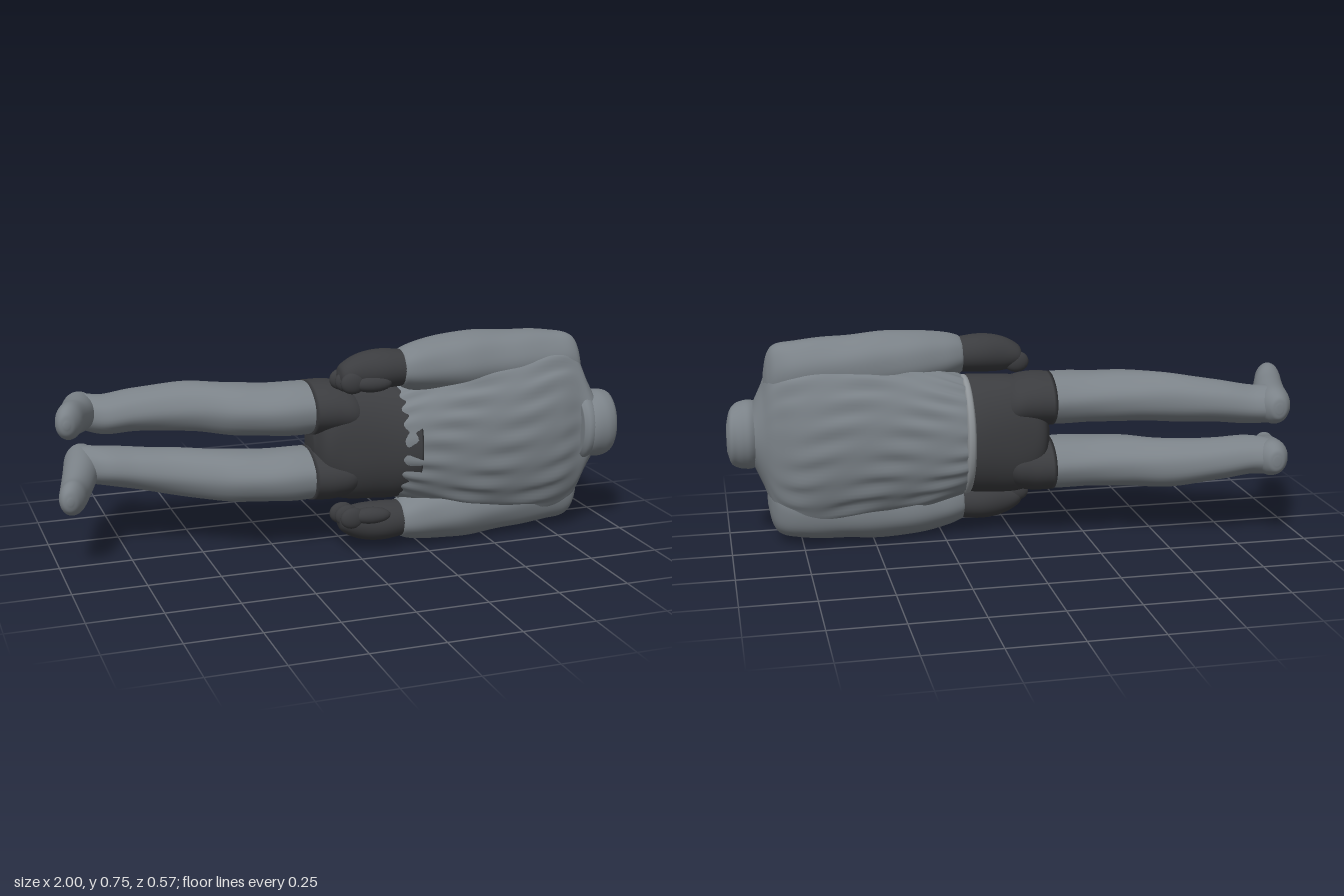
import * as THREE from 'three';

const GREY = 0x7b8288, DARK = 0x3b3c3f, TRIM = 0x8f9498;
const MID = 0.3725; // height of the body's long axis

// Smooth skin over sections [t, a, b, ra, rb, exponent], t rising along axis x or z
function loft(name, color, secs, { axis = 'x', rows = 40, cols = 40, bump = null } = {}) {
  const centre = new THREE.CatmullRomCurve3(
    secs.map(s => new THREE.Vector3(s[0], s[1], s[2])), false, 'catmullrom', 0.5);
  const size = new THREE.CatmullRomCurve3(
    secs.map(s => new THREE.Vector3(s[3], s[4], s[5] ?? 2)), false, 'catmullrom', 0.5);
  const pos = [], idx = [];
  const put = (t, a, b) => axis === 'x' ? pos.push(t, a, b) : pos.push(a, b, t);
  for (let i = 0; i <= rows; i++) {
    const c = centre.getPoint(i / rows), r = size.getPoint(i / rows);
    for (let j = 0; j < cols; j++) {
      const th = j / cols * Math.PI * 2, k = 2 / r.z;
      const ca = Math.cos(th), sa = Math.sin(th);
      const m = bump ? 1 + bump(c.x, th) : 1;
      put(c.x, c.y + r.x * m * Math.sign(ca) * Math.abs(ca) ** k,
        c.z + r.y * m * Math.sign(sa) * Math.abs(sa) ** k);
      const n = (j + 1) % cols, p = i * cols;
      if (i < rows) idx.push(p + j, p + n, p + cols + n, p + j, p + cols + n, p + cols + j);
    }
  }
  // end caps
  const first = secs[0], last = secs[secs.length - 1], base = (rows + 1) * cols;
  put(first[0], first[1], first[2]);
  put(last[0], last[1], last[2]);
  for (let j = 0; j < cols; j++) {
    const n = (j + 1) % cols;
    idx.push(base, n, j, base + 1, rows * cols + j, rows * cols + n);
  }
  const geo = new THREE.BufferGeometry();
  geo.setAttribute('position', new THREE.Float32BufferAttribute(pos, 3));
  geo.setIndex(idx);
  geo.computeVertexNormals();
  const mesh = new THREE.Mesh(geo, new THREE.MeshStandardMaterial({ color }));
  mesh.name = name;
  return mesh;
}

function blob(name, color, x, y, z, rx, ry, rz, tilt = 0) {
  const mesh = new THREE.Mesh(new THREE.SphereGeometry(1, 20, 14),
    new THREE.MeshStandardMaterial({ color }));
  mesh.position.set(x, y, z);
  mesh.scale.set(rx, ry, rz);
  mesh.rotation.y = tilt;
  mesh.name = name;
  return mesh;
}

// cloth folds running along the body, broken up along its length
const folds = (x, th) => 0.026 * Math.sin(22 * th + 1.3 * Math.sin(9 * x)) *
  (0.6 + 0.4 * Math.sin(23 * x + 5 * th)) * THREE.MathUtils.smoothstep(0.88 - x, 0, 0.12);
const wrinkles = (x, th) => 0.012 * Math.sin(30 * x + 2 * Math.sin(th)) +
  0.01 * Math.sin(7 * th + 6 * x);

export function createModel() {
  const body = new THREE.Group();
  body.name = 'lyingFigure';

  // torso, hem and hips
  body.add(loft('torso', GREY, [
    [0.14, MID, 0.075, 0.19, 0.15], [0.2, MID, 0.08, 0.22, 0.172, 2.2],
    [0.4, MID, 0.1, 0.285, 0.178, 2.1], [0.6, MID, 0.105, 0.32, 0.175, 2],
    [0.74, MID, 0.108, 0.33, 0.155, 2], [0.83, 0.376, 0.122, 0.29, 0.117],
    [0.875, 0.383, 0.143, 0.18, 0.1], [0.91, 0.385, 0.155, 0.1, 0.085],
  ], { rows: 80, cols: 140, bump: folds }));
  body.add(loft('hem', TRIM, [
    [0.155, MID, 0.06, 0.19, 0.15], [0.163, MID, 0.06, 0.211, 0.162],
    [0.18, MID, 0.06, 0.213, 0.164], [0.188, MID, 0.06, 0.19, 0.15],
  ], { rows: 12, cols: 64 }));
  body.add(loft('hips', DARK, [
    [-0.12, MID, 0.03, 0.05, 0.05], [-0.09, MID, 0.033, 0.16, 0.11],
    [-0.02, MID, 0.04, 0.205, 0.132, 2.3], [0.1, MID, 0.06, 0.212, 0.152, 2.2],
    [0.17, MID, 0.08, 0.208, 0.163, 2.1], [0.22, MID, 0.098, 0.19, 0.163],
  ], { cols: 64 }));

  // collar and head stump
  body.add(loft('collar', GREY, [
    [0.83, 0.383, 0.165, 0.12, 0.1], [0.85, 0.383, 0.165, 0.128, 0.114],
    [0.875, 0.384, 0.162, 0.122, 0.11], [0.895, 0.385, 0.158, 0.1, 0.09],
  ], { rows: 20, cols: 48 }));
  body.add(loft('head', GREY, [
    [0.84, 0.383, 0.215, 0.06, 0.045], [0.87, 0.383, 0.188, 0.105, 0.09],
    [0.91, 0.386, 0.17, 0.121, 0.11], [0.94, 0.386, 0.165, 0.12, 0.109],
    [0.965, 0.386, 0.158, 0.112, 0.098], [0.985, 0.386, 0.138, 0.092, 0.074],
    [0.998, 0.386, 0.12, 0.045, 0.035],
  ], { rows: 36, cols: 48 }));

  // arms and hands, mirrored about the body's long axis
  for (const [side, s] of [['left', 1], ['right', -1]]) {
    const y = d => MID + s * d;
    body.add(loft(side + 'Arm', GREY, [
      [0.16, y(0.27), 0.15, 0.05, 0.06], [0.18, y(0.27), 0.148, 0.07, 0.08],
      [0.25, y(0.268), 0.135, 0.088, 0.1], [0.4, y(0.264), 0.115, 0.108, 0.115],
      [0.6, y(0.254), 0.103, 0.11, 0.108], [0.75, y(0.244), 0.103, 0.11, 0.094],
      [0.82, y(0.23), 0.112, 0.112, 0.076], [0.85, y(0.205), 0.122, 0.1, 0.055],
      [0.865, y(0.185), 0.128, 0.05, 0.025],
    ], { rows: 60, cols: 60, bump: wrinkles }));
    body.add(loft(side + 'Hand', DARK, [
      [-0.055, y(0.255), 0.15, 0.012, 0.015], [-0.04, y(0.26), 0.15, 0.038, 0.045],
      [0.02, y(0.268), 0.15, 0.062, 0.062], [0.1, y(0.273), 0.15, 0.068, 0.076],
      [0.2, y(0.27), 0.148, 0.06, 0.07],
    ], { rows: 24, cols: 32 }));
    for (let i = 0; i < 3; i++)
      body.add(blob(side + 'Finger' + (i + 1), DARK,
        -0.03 + 0.008 * i, y(0.24), 0.122 + 0.036 * i, 0.045, 0.038, 0.022));
    body.add(blob(side + 'Thumb', DARK, 0.05, y(0.235), 0.2, 0.07, 0.03, 0.03, -0.15));
  }

  // legs: [name, heights of thigh, knee, calf, ankle, heel, toe]
  const legs = [
    ['left', 0.498, 0.508, 0.497, 0.485, 0.49, 0.522],
    ['right', 0.262, 0.266, 0.287, 0.3, 0.302, 0.26],
  ];
  for (const [side, thigh, knee, calf, ankle, heel, toe] of legs) {
    const mix = (a, b, t) => a + (b - a) * t;
    body.add(loft(side + 'ThighTop', DARK, [
      [-0.13, thigh, 0.026, 0.094, 0.13], [-0.05, thigh, 0.035, 0.094, 0.132],
      [0.02, mix(thigh, MID, 0.1), 0.042, 0.085, 0.125], [0.09, mix(thigh, MID, 0.4), 0.055, 0.05, 0.07],
    ], { rows: 20 }));
    body.add(loft(side + 'Leg', GREY, [
      [-0.915, heel, -0.215, 0.03, 0.03], [-0.9, heel, -0.212, 0.05, 0.058],
      [-0.865, heel, -0.195, 0.064, 0.082], [-0.8, ankle, -0.16, 0.067, 0.092],
      [-0.7, calf, -0.14, 0.074, 0.092], [-0.6, mix(calf, knee, 0.6), -0.115, 0.08, 0.097],
      [-0.5, knee, -0.073, 0.087, 0.107], [-0.4, mix(knee, thigh, 0.4), -0.022, 0.089, 0.12],
      [-0.3, mix(knee, thigh, 0.8), 0.01, 0.09, 0.122],
      [-0.2, thigh, 0.022, 0.092, 0.125], [-0.1, thigh, 0.027, 0.09, 0.125],
    ], { rows: 70, bump: wrinkles }));
    // foot, pointing forward
    body.add(loft(side + 'Foot', GREY, [
      [-0.284, -0.872, heel, 0.012, 0.015], [-0.274, -0.873, heel, 0.034, 0.042],
      [-0.23, -0.874, heel, 0.058, 0.064], [-0.14, -0.89, mix(heel, toe, 0.25), 0.062, 0.064],
      [-0.06, -0.914, mix(heel, toe, 0.6), 0.057, 0.06],
      [0.01, -0.939, toe, 0.05, 0.061], [0.055, -0.953, toe, 0.044, 0.058],
      [0.083, -0.962, toe, 0.028, 0.038], [0.093, -0.965, toe, 0.008, 0.01],
    ], { axis: 'z', rows: 44, cols: 32 }));
  }
  return body;
}
